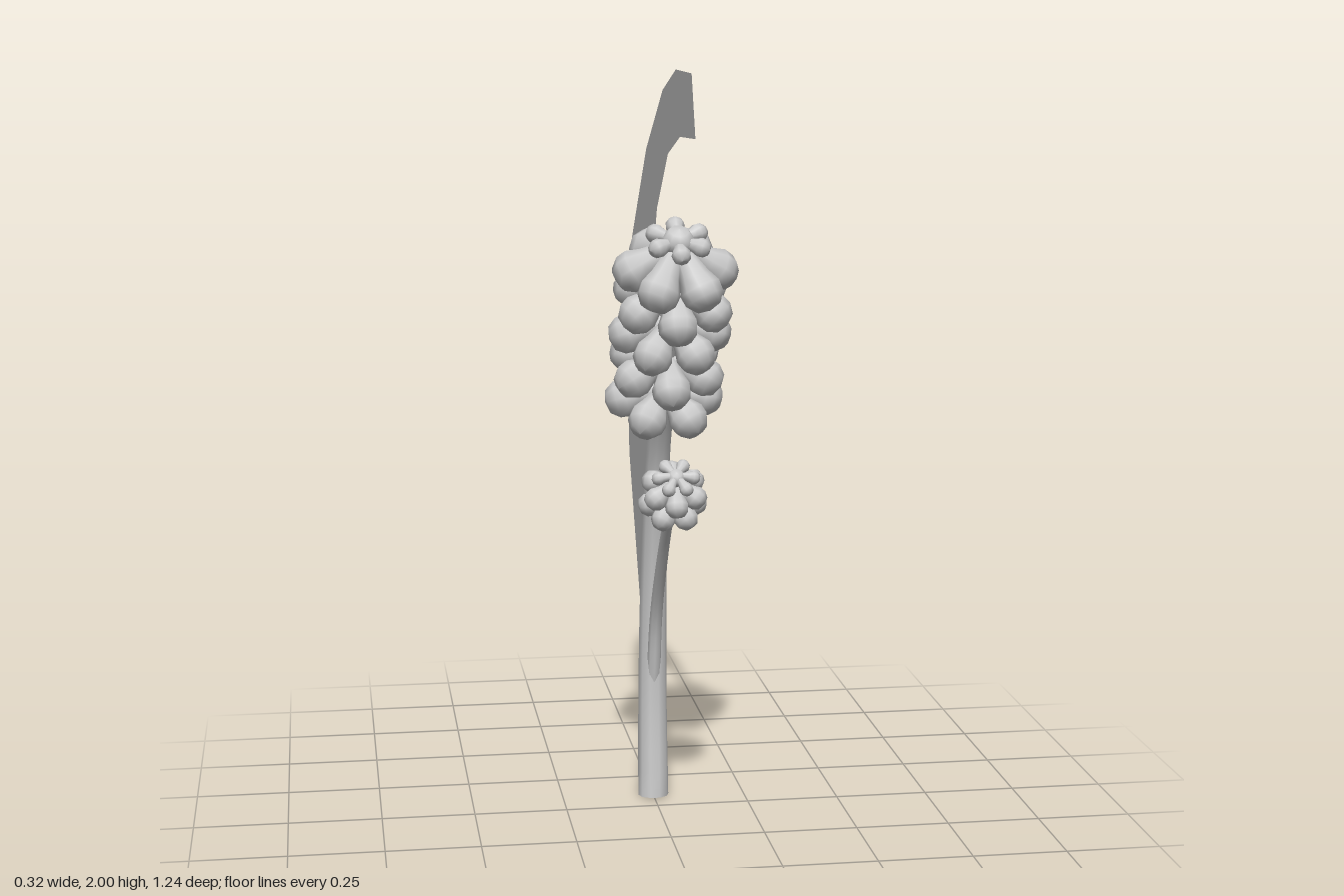
import * as THREE from 'three';

const grey = new THREE.MeshStandardMaterial({ color: 0xcccccc });
const greyDouble = new THREE.MeshStandardMaterial({ color: 0xcccccc, side: THREE.DoubleSide });

// Tapered tube along a path of [z, y] points in the x = 0 plane
function taperedStem(name, points, r0, r1, segments, sides) {
  const curve = new THREE.CatmullRomCurve3(points.map(([z, y]) => new THREE.Vector3(0, y, z)));
  const geo = new THREE.TubeGeometry(curve, segments, 1, sides);
  const pos = geo.attributes.position;
  const v = new THREE.Vector3();
  for (let i = 0; i < pos.count; i++) {
    const t = Math.floor(i / (sides + 1)) / segments;
    const centre = curve.getPointAt(t);
    v.fromBufferAttribute(pos, i).sub(centre).multiplyScalar(r0 + (r1 - r0) * t).add(centre);
    pos.setXYZ(i, v.x, v.y, v.z);
  }
  geo.computeVertexNormals();
  const mesh = new THREE.Mesh(geo, greyDouble);
  mesh.name = name;
  return mesh;
}

// Teardrop bud from base to the centre of its round end
function bud(base, end, r) {
  const dir = end.clone().sub(base);
  const len = dir.length();
  const profile = [[0, 0], [0.3 * r, 0.01 * len], [0.72 * r, len - 0.75 * r], [0.97 * r, len - 0.15 * r],
    [0.93 * r, len + 0.35 * r], [0.6 * r, len + 0.8 * r], [0, len + 0.95 * r]];
  const geo = new THREE.LatheGeometry(profile.map(([x, y]) => new THREE.Vector2(x, y)), 9);
  const mesh = new THREE.Mesh(geo, grey);
  mesh.position.copy(base);
  mesh.quaternion.setFromUnitVectors(new THREE.Vector3(0, 1, 0), dir.normalize());
  mesh.name = 'bud';
  return mesh;
}

// Rings of six buds, alternately turned; each ring is [height, reach, bud radius, rise of the base]
function flowerHead(name, z, y, tilt, rings, tip) {
  const head = new THREE.Group();
  head.name = name;
  rings.forEach(([h, reach, r, rise], row) => {
    for (let k = 0; k < 6; k++) {
      const a = (k + (row % 2 ? 0 : 0.5)) * Math.PI / 3;
      const end = new THREE.Vector3(reach * Math.sin(a), h, reach * Math.cos(a));
      head.add(bud(new THREE.Vector3(0, h + rise, 0), end, r));
    }
  });
  const [h, r] = tip;
  const crown = bud(new THREE.Vector3(0, h - 2 * r, 0), new THREE.Vector3(0, h, 0), r);
  crown.name = 'crownBud';
  head.add(crown);
  head.position.set(0, y, z);
  head.rotation.x = tilt;
  return head;
}

export function createModel() {
  const model = new THREE.Group();
  model.name = 'flower';

  // Main stem with its closed foot
  model.add(taperedStem('stem', [[-0.088, 0], [-0.103, 0.25], [-0.095, 0.5], [-0.058, 0.75],
    [0.005, 0.98], [0.1, 1.15], [0.33, 1.55]], 0.042, 0.026, 24, 10));
  const foot = new THREE.Mesh(new THREE.CircleGeometry(0.042, 10), grey);
  foot.name = 'stemFoot';
  foot.rotation.x = Math.PI / 2;
  foot.position.set(0, 0.001, -0.088);
  model.add(foot);

  // Side stem
  model.add(taperedStem('sideStem', [[-0.085, 0.33], [-0.035, 0.52], [0.09, 0.72],
    [0.23, 0.885], [0.29, 0.95]], 0.019, 0.012, 16, 8));

  // Large and small flower heads
  model.add(flowerHead('mainFlowerHead', 0.106, 1.15, 0.52, [
    [0, 0.105, 0.052, 0.03], [0.106, 0.105, 0.052, 0.03], [0.212, 0.108, 0.052, 0.04],
    [0.315, 0.108, 0.052, 0.06], [0.41, 0.105, 0.055, 0.08], [0.5, 0.062, 0.025, 0],
  ], [0.495, 0.042]));
  model.add(flowerHead('sideFlowerHead', 0.262, 0.9, 0.66, [
    [0, 0.058, 0.032, 0.015], [0.055, 0.058, 0.031, 0.025], [0.1, 0.045, 0.018, 0.01],
  ], [0.1, 0.024]));

  // Flat arching leaf, outline as [z, y]
  const outline = [[-0.1, 0.06], [-0.14, 0.12], [-0.58, 0.87], [-0.62, 1.15], [-0.51, 1.505], [-0.22, 1.77],
    [0.085, 1.94], [0.31, 2], [0.56, 2], [0.62, 1.85], [0.38, 1.84], [0.18, 1.785], [-0.015, 1.63],
    [-0.15, 1.365], [-0.205, 1.17], [-0.205, 1], [-0.14, 0.84], [-0.1, 0.65]];
  const shape = new THREE.Shape(outline.map(([z, y]) => new THREE.Vector2(-z, y)));
  const leaf = new THREE.Mesh(new THREE.ShapeGeometry(shape), greyDouble);
  leaf.name = 'leaf';
  leaf.rotation.y = Math.PI / 2;
  model.add(leaf);

  return model;
}
